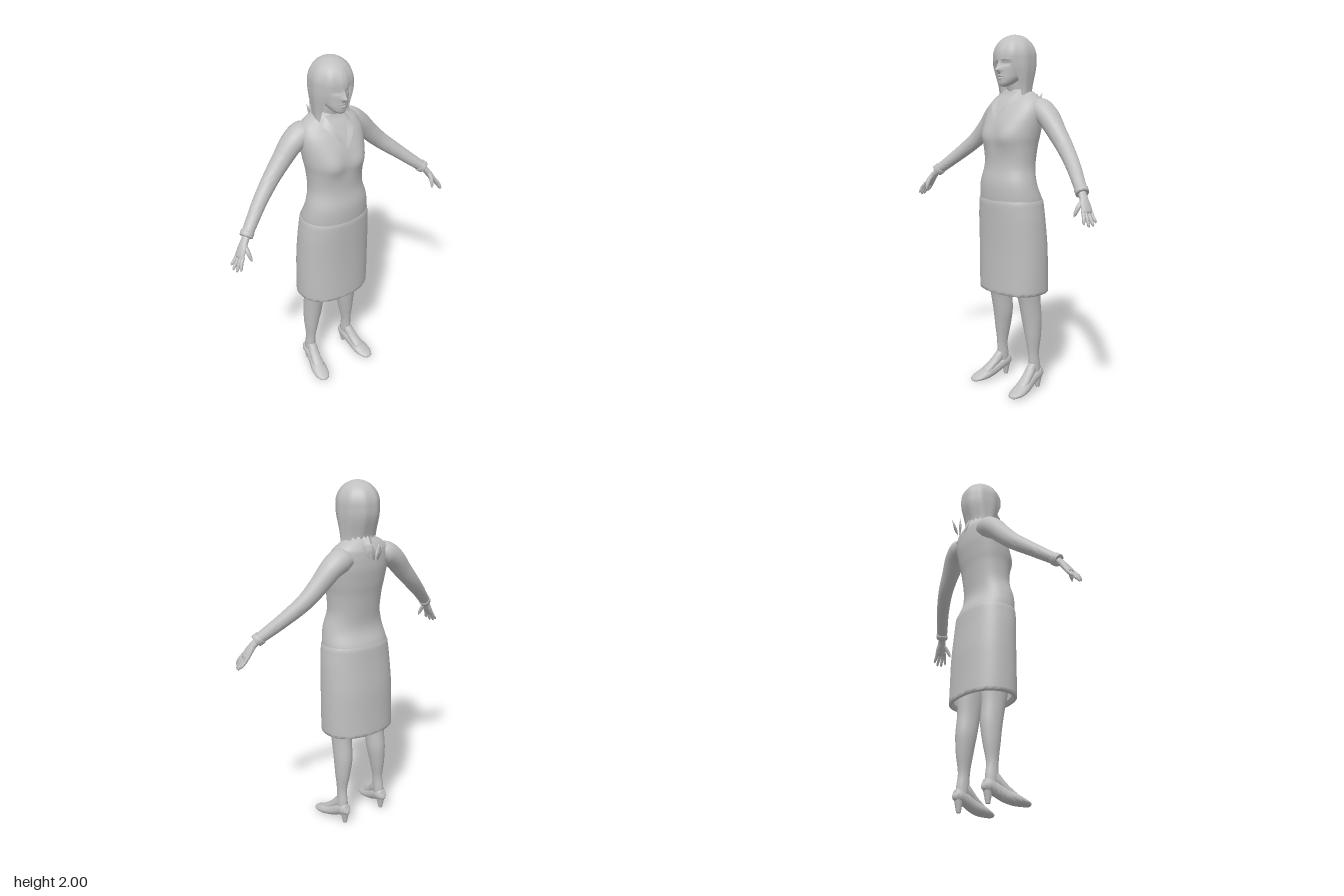
import * as THREE from 'three';
import { toCreasedNormals } from 'three/addons/utils/BufferGeometryUtils.js';

const grey = new THREE.MeshStandardMaterial({ color: 0xc0c0c0, side: THREE.DoubleSide });
grey.name = 'plain grey';

// Smooth surface from a rule point(u, v); closed in u when wrap is set
function surface(point, nu, nv, wrap = true, crease = 1) {
  const pos = [], idx = [], w = wrap ? nu : nu + 1;
  for (let j = 0; j <= nv; j++)
    for (let i = 0; i < w; i++) pos.push(...point(i / nu, j / nv).toArray());
  for (let j = 0; j < nv; j++)
    for (let i = 0; i < nu; i++) {
      const a = j * w + i, b = j * w + (i + 1) % w;
      idx.push(a, a + w, b, b, a + w, b + w);
    }
  const g = new THREE.BufferGeometry();
  g.setAttribute('position', new THREE.Float32BufferAttribute(pos, 3));
  g.setIndex(idx);
  return toCreasedNormals(g, crease);
}

// Sweep of ellipses through rows [x, y, z, r1, r2]
function sweep(rows, { s = 1, level = false, ref = [0, 0, 1], nu = 24, nv = rows.length * 4, power = 1, rule } = {}) {
  const path = new THREE.CatmullRomCurve3(rows.map(r => new THREE.Vector3(r[0] * s, r[1], r[2])));
  const size = new THREE.CatmullRomCurve3(rows.map(r => new THREE.Vector3(r[3], r[4] ?? r[3], 0)));
  const up = new THREE.Vector3(...ref);
  const bend = c => Math.sign(c) * Math.abs(c) ** power;
  return surface((u, v) => {
    const t = level ? new THREE.Vector3(0, 1, 0) : path.getTangent(v);
    const n1 = t.clone().cross(up).normalize(), n2 = n1.clone().cross(t);
    const r = size.getPoint(v), a = u * Math.PI * 2;
    const p = path.getPoint(v)
      .addScaledVector(n1, bend(Math.cos(a)) * Math.max(r.x, 0))
      .addScaledVector(n2, bend(Math.sin(a)) * Math.max(r.y, 0));
    if (rule) rule(p);
    return p;
  }, nu, nv);
}

const bump = (x, y, sx, sy) => Math.exp(-((x / sx) ** 2) - (y / sy) ** 2);
const smooth = THREE.MathUtils.smoothstep;

export function createModel() {
  const model = new THREE.Group();
  const add = (name, geo, parent = model) => {
    const m = new THREE.Mesh(geo, grey);
    m.name = name;
    parent.add(m);
    return m;
  };

  // Fitted top, with a soft bust
  add('torso', sweep([
    [0, 1.05, .035, .18, .13], [0, 1.1, .035, .196, .143], [0, 1.2, .055, .18, .125],
    [0, 1.3, .044, .157, .118], [0, 1.4, .036, .163, .124], [0, 1.46, .03, .174, .13],
    [0, 1.54, .015, .183, .127], [0, 1.6, 0, .183, .113], [0, 1.65, -.015, .165, .093],
    [0, 1.685, -.02, .12, .068], [0, 1.71, -.015, .06, .05], [0, 1.715, -.015, 0, 0],
  ], {
    level: true, nu: 48, power: .92,
    rule: p => { if (p.z > .02) p.z += .022 * bump(Math.abs(p.x) - .085, p.y - 1.46, .06, .07); },
  }));

  // Knee-length skirt, open below, with a turned-in hem
  add('skirt', sweep([
    [0, .6, .015, .19, .13], [0, .578, .015, .205, .145], [0, .585, .015, .218, .157], [0, .7, .017, .22, .154],
    [0, .85, .02, .218, .152], [0, 1, .03, .211, .148], [0, 1.07, .034, .203, .147],
    [0, 1.092, .035, .2, .146], [0, 1.092, .035, .18, .13],
  ], { level: true, nu: 48, power: .88 }));

  // Neck and head; the face is shaped by small bumps
  add('neck', sweep([[0, 1.62, -.03, .065, .06], [0, 1.7, -.012, .055, .055], [0, 1.75, 0, .052, .055],
    [0, 1.82, .005, .055, .06]], { level: true }));
  add('head', sweep([
    [0, 1.722, .085, 0, 0], [0, 1.727, .084, .02, .024], [0, 1.742, .068, .042, .048],
    [0, 1.77, .043, .063, .074], [0, 1.82, .02, .077, .097], [0, 1.88, .01, .085, .107],
    [0, 1.94, 0, .08, .092], [0, 1.975, 0, .045, .05], [0, 1.98, 0, 0, 0],
  ], {
    level: true, nu: 72, nv: 72,
    rule: p => {
      if (p.z < .05) return;
      const x = Math.abs(p.x), y = p.y;
      p.z += .026 * bump(x, y - 1.812, .013, .014) + .016 * bump(x, y - 1.835, .01, .025)
        + .007 * bump(x, y - 1.782, .02, .006) + .006 * bump(x, y - 1.768, .018, .006)
        - .004 * bump(x, y - 1.775, .024, .003) - .012 * bump(x - .034, y - 1.85, .02, .012)
        + .005 * bump(x - .034, y - 1.85, .011, .006) + .006 * bump(x - .03, y - 1.872, .03, .008);
    },
  }));

  // Bobbed hair: a cap whose lower edge drops from fringe to side locks
  add('hair', surface((u, v) => {
    const a = (u - .5) * Math.PI * 2, f = Math.abs(a) * 180 / Math.PI;
    const edge = 1.866 + .012 * Math.sin(a * 2) * (f < 60 ? 1 : 0) - .2 * smooth(f, 38, 72)
      + .045 * smooth(f, 105, 135) + .008 * Math.sin(f * .35) * smooth(f, 45, 80);
    const th = Math.min(v * 2, 1) * Math.PI / 2;
    const y = v < .5 ? 1.88 + .12 * Math.cos(th) : THREE.MathUtils.lerp(1.88, edge, v * 2 - 1);
    const drop = smooth(1.88 - y, .03, .2);
    const lock = 1 + .018 * Math.cos(a * 9) * smooth(v, .1, .4);
    const r = .113 * Math.sin(th) * lock;
    return new THREE.Vector3(Math.sin(a) * r * (1 - .12 * drop), y,
      .005 + Math.cos(a) * r * 1.09 * (1 - .32 * drop));
  }, 96, 40));

  // Loose pointed tufts behind the shoulders
  const tufts = new THREE.Group();
  tufts.name = 'hairTufts';
  model.add(tufts);
  [[-.015, -.13, -.06, -.11], [-.012, -.15, -.035, -.165], [0, -.16, .005, -.198],
    [.012, -.15, .04, -.17], [.015, -.13, .065, -.11]].forEach(([x, z, tx, tz]) =>
    add('tuft', sweep([[x, 1.597, z, 0], [x * .6 + tx * .4, 1.635, z * .6 + tz * .4, .01, .006],
      [tx, 1.688, tz, 0]], { nu: 8 }), tufts));

  // Open collar: a ribbon from the nape to the point of the neckline
  const curve = pts => new THREE.CatmullRomCurve3(pts.map(p => new THREE.Vector3(...p)));
  const inner = curve([[0, 1.725, -.08], [.058, 1.72, -.035], [.06, 1.7, .03], [.034, 1.64, .1], [0, 1.55, .152]]);
  const outer = curve([[0, 1.675, -.108], [.088, 1.675, -.04], [.088, 1.66, .05], [.062, 1.622, .118], [.006, 1.545, .155]]);

  for (const [side, s] of [['left', 1], ['right', -1]]) {
    add(side + 'Collar', surface((u, v) => {
      const p = inner.getPoint(u).lerp(outer.getPoint(u), v);
      p.x *= s;
      return p;
    }, 24, 2, false));

    // Sleeve and cuff
    const arm = new THREE.Group();
    arm.name = side + 'Arm';
    model.add(arm);
    add('sleeve', sweep([
      [.11, 1.605, -.04, .05, .06], [.155, 1.598, -.042, .066, .07], [.21, 1.565, -.042, .06, .066],
      [.28, 1.492, -.035, .053, .052], [.36, 1.412, -.02, .046, .044], [.465, 1.322, .025, .038, .038],
      [.54, 1.258, .068, .033, .034], [.595, 1.212, .1, .029, .031],
    ], { s, nv: 40 }), arm);
    add('cuff', sweep([[.575, 1.229, .088, .03], [.577, 1.227, .089, .036], [.596, 1.211, .101, .035],
      [.598, 1.209, .102, .02]], { s }), arm);

    // Hand: palm, four fingers and thumb
    const hand = new THREE.Group();
    hand.name = side + 'Hand';
    arm.add(hand);
    add('palm', sweep([[.588, 1.215, .096, .02, .022], [.612, 1.188, .108, .018, .024],
      [.635, 1.155, .118, .016, .033], [.655, 1.122, .125, .013, .034], [.66, 1.112, .127, 0, 0]], { s }), hand);
    [[.097, .105, .694, 1.072], [.116, .128, .698, 1.058], [.136, .152, .692, 1.056], [.153, .175, .68, 1.07]]
      .forEach(([z, tz, x, y]) => add('finger', sweep([[.647, 1.135, z, .009],
        [.668, 1.105, (z + tz) / 2 + .002, .0095], [x - .004, y + .01, tz, .007], [x, y, tz, 0]], { s, nu: 10 }), hand));
    add('thumb', sweep([[.618, 1.178, .125, .01], [.618, 1.15, .152, .012], [.613, 1.118, .168, .009],
      [.608, 1.098, .174, 0]], { s, nu: 10 }), hand);

    // Leg
    const leg = new THREE.Group();
    leg.name = side + 'Leg';
    model.add(leg);
    add('calf', sweep([
      [.11, .8, .025, .075, .085], [.118, .6, .012, .058, .078], [.12, .52, .002, .053, .068],
      [.122, .42, -.012, .052, .062], [.129, .32, -.016, .042, .05], [.135, .2, -.016, .027, .034],
      [.137, .13, -.022, .029, .037], [.138, .08, -.025, .028, .035],
    ], { s, level: false, nv: 40 }), leg);
    add('instep', sweep([[.137, .165, -.018, .022, .02], [.14, .125, .008, .028, .028],
      [.148, .085, .05, .031, .024], [.156, .05, .1, .034, .02], [.16, .035, .125, .02, .01]],
      { s, ref: [0, 1, 0] }), leg);

    // Court shoe with a narrow heel
    add('shoe', sweep([
      [.137, .096, -.077, 0, 0], [.137, .094, -.073, .02, .026], [.138, .09, -.045, .034, .038],
      [.142, .073, 0, .034, .036], [.15, .05, .05, .038, .036], [.159, .032, .105, .047, .03],
      [.165, .021, .15, .043, .02], [.168, .014, .185, .026, .012], [.169, .012, .198, 0, 0],
    ], { s, ref: [0, 1, 0] }), leg);
    const heel = add('heel', new THREE.CylinderGeometry(.028, .012, .085, 16), leg);
    heel.position.set(.137 * s, .0425, -.046);
  }
  return model;
}
